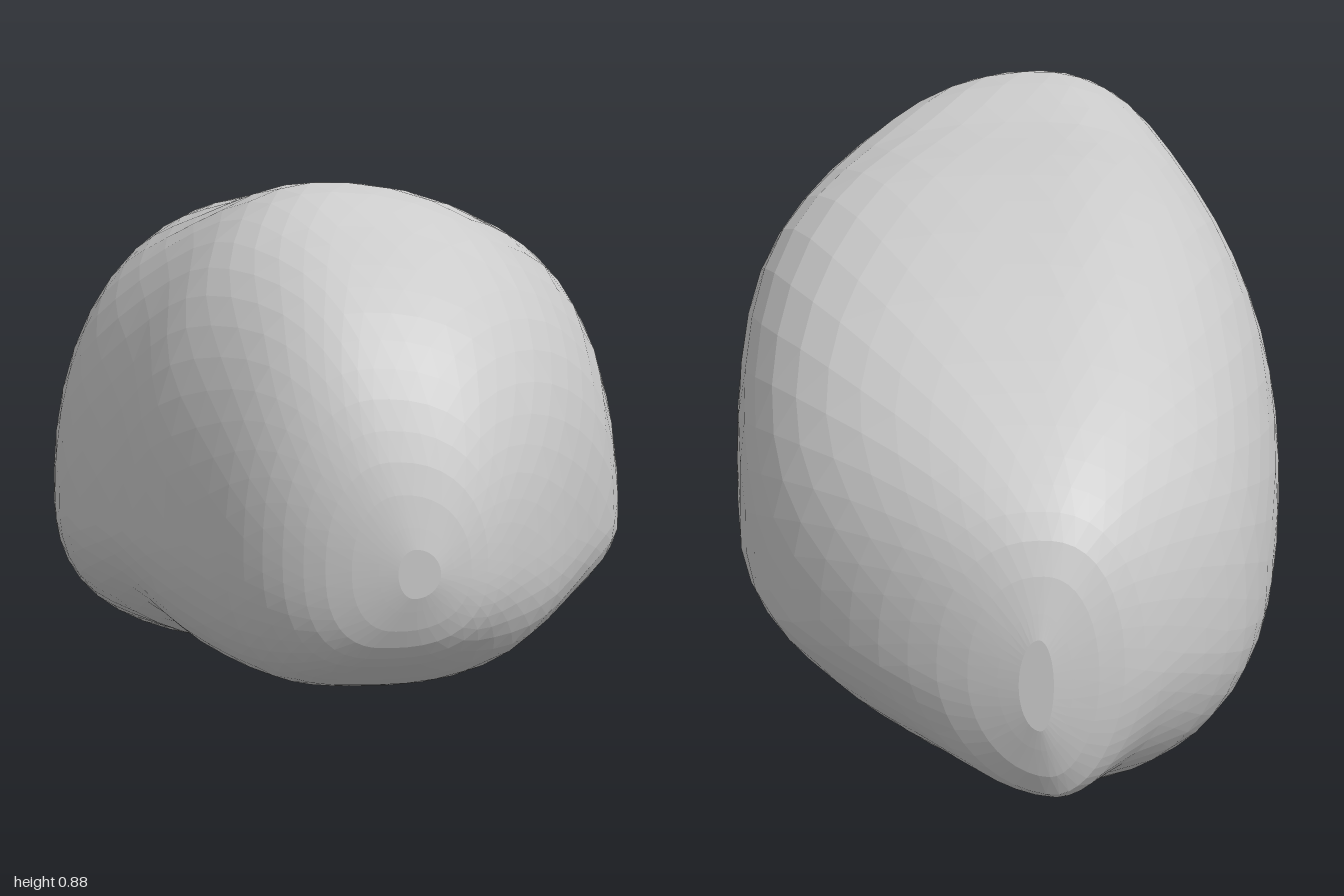
import * as THREE from 'three';

// Cross-sections, front to back: z, right x, left x, top y, bottom y, y of the widest point,
// then the squareness of each quadrant: upper left, upper right, lower right, lower left
const SECTIONS = [
  [1.0, 0.02, 0.08, 0.40, 0.33, 0.365, 2, 2, 2, 2],
  [0.975, -0.08, 0.15, 0.52, 0.255, 0.37, 2.3, 2.2, 2.5, 2.5],
  [0.92, -0.165, 0.21, 0.645, 0.205, 0.38, 2.4, 2.2, 2.6, 2.6],
  [0.82, -0.24, 0.285, 0.75, 0.16, 0.37, 2.4, 2.2, 2.4, 2.5],
  [0.65, -0.325, 0.365, 0.825, 0.15, 0.36, 2.3, 2.2, 2.2, 2.3],
  [0.48, -0.375, 0.43, 0.88, 0.145, 0.34, 2.1, 2.1, 2.1, 2.0],
  [0.2, -0.445, 0.465, 0.845, 0.09, 0.31, 2.8, 2.2, 2.2, 1.7],
  [-0.1, -0.47, 0.455, 0.82, 0.04, 0.30, 3.3, 2.2, 2.4, 1.5],
  [-0.45, -0.45, 0.405, 0.76, 0.003, 0.28, 3.3, 2.2, 2.5, 1.5],
  [-0.7, -0.40, 0.325, 0.68, 0.02, 0.28, 2.8, 2.3, 2.2, 1.5],
  [-0.87, -0.305, 0.185, 0.59, 0.07, 0.29, 2.4, 2.3, 1.8, 1.6],
  [-0.96, -0.22, 0.05, 0.495, 0.1, 0.29, 2.3, 2.3, 1.8, 1.8],
  [-1.0, -0.12, -0.07, 0.36, 0.22, 0.29, 2, 2, 2, 2],
];
const SIDES = 44, STEPS = 3;

// Smooth interpolation between neighbouring sections
function sectionAt(t) {
  const n = SECTIONS.length - 1, i = Math.min(Math.floor(t), n - 1), f = t - i;
  const [a, b, c, d] = [-1, 0, 1, 2].map(k => SECTIONS[Math.min(n, Math.max(0, i + k))]);
  return b.map((v, k) => v + 0.5 * f * (c[k] - a[k]
    + f * (2 * a[k] - 5 * v + 4 * c[k] - d[k] + f * (3 * (v - c[k]) + d[k] - a[k]))));
}

// Point on a lopsided superellipse, at a fraction u of the way round
function sectionPoint([z, x0, x1, top, bottom, yc, ...powers], u) {
  const a = u * Math.PI * 2, c = Math.cos(a), s = Math.sin(a);
  const width = x1 - x0;
  const xc = (x0 + x1) / 2 - width * (s >= 0 ? 0.08 : 0.13);
  const p = powers[Math.floor(u * 4)];
  const r = Math.pow(Math.pow(Math.abs(c), p) + Math.pow(Math.abs(s), p), -1 / p);
  const x = xc + r * c * (c >= 0 ? x1 - xc : xc - x0);
  let y = yc + r * s * (s >= 0 ? top - yc : yc - bottom);
  // Shallow dents in the underside
  if (s < 0) y += 0.008 * s * s * width * Math.sin(9 * x + 7 * z) * Math.cos(11 * z - 5 * x);
  return [x, Math.max(0, y), z];
}

export function createModel() {
  const group = new THREE.Group();
  group.name = 'boulder';

  // Every other ring is turned half a step for triangular facets
  const positions = [], index = [];
  const rings = (SECTIONS.length - 1) * STEPS;
  for (let i = 0; i <= rings; i++) {
    const section = sectionAt(i / STEPS);
    for (let j = 0; j < SIDES; j++) positions.push(...sectionPoint(section, (j + (i % 2) / 2) / SIDES));
  }
  // Skin between rings
  for (let i = 0; i < rings; i++) {
    for (let j = 0; j < SIDES; j++) {
      const k = (j + 1) % SIDES;
      const a = i * SIDES + j, b = i * SIDES + k, c = a + SIDES, d = b + SIDES;
      if (i % 2) index.push(a, c, d, a, d, b);
      else index.push(a, c, b, b, c, d);
    }
  }
  // End caps
  const front = positions.length / 3, back = front + 1, last = rings * SIDES;
  positions.push(0.05, 0.365, 1, -0.095, 0.29, -1);
  for (let j = 0; j < SIDES; j++) {
    const k = (j + 1) % SIDES;
    index.push(front, j, k, back, last + k, last + j);
  }

  const geometry = new THREE.BufferGeometry();
  geometry.setAttribute('position', new THREE.Float32BufferAttribute(positions, 3));
  geometry.setIndex(index);
  geometry.computeVertexNormals();

  const stone = new THREE.Mesh(geometry,
    new THREE.MeshStandardMaterial({ color: 0xcccccc, flatShading: true }));
  stone.name = 'stone';
  group.add(stone);
  return group;
}
